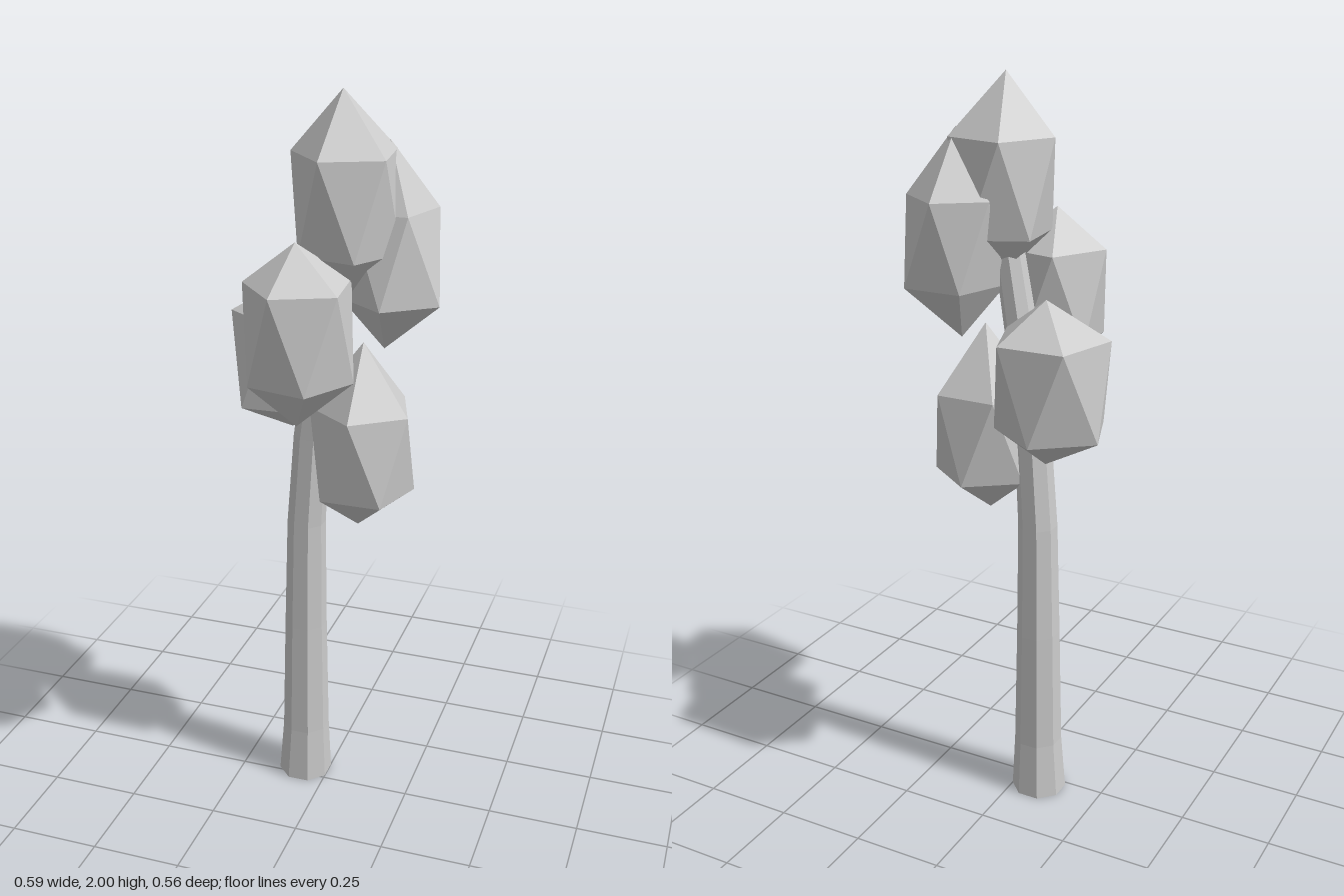
import * as THREE from 'three';

const material = new THREE.MeshStandardMaterial({ color: 0xcccccc, flatShading: true });

// Ring of points around [x, y, z]
function ring([x, y, z], radius, sides, degrees) {
  return Array.from({ length: sides }, (_, i) => {
    const a = THREE.MathUtils.degToRad(degrees) + (i / sides) * Math.PI * 2;
    return [x + radius * Math.cos(a), y, z + radius * Math.sin(a)];
  });
}

function facetedMesh(name, triangles) {
  const geometry = new THREE.BufferGeometry();
  geometry.setAttribute('position', new THREE.Float32BufferAttribute(triangles.flat(2), 3));
  geometry.computeVertexNormals();
  const mesh = new THREE.Mesh(geometry, material);
  mesh.name = name;
  return mesh;
}

// Stretched twenty-sided clump: a tip, two staggered rings of five, a bottom point
function foliage({ name, top, upper, upperR, lower, lowerR, bottom, turn }) {
  const u = ring(upper, upperR, 5, turn);
  const l = ring(lower, lowerR, 5, turn + 36);
  const triangles = [];
  for (let i = 0; i < 5; i++) {
    const j = (i + 1) % 5;
    triangles.push([top, u[j], u[i]], [l[i], u[i], u[j]], [u[j], l[j], l[i]], [bottom, l[i], l[j]]);
  }
  return facetedMesh(name, triangles);
}

// Bent, tapering eight-sided trunk, closed at both ends
function trunk() {
  const sections = [
    [[-0.07, 0, -0.04], 0.076],
    [[-0.067, 0.16, -0.04], 0.066],
    [[-0.066, 0.5, -0.04], 0.059],
    [[-0.062, 0.82, -0.038], 0.053],
    [[-0.045, 1.08, -0.036], 0.049],
    [[-0.018, 1.3, -0.032], 0.045],
    [[0.045, 1.64, -0.02], 0.038],
  ];
  const sides = 8;
  const rings = sections.map(([centre, r]) => ring(centre, r, sides, 22.5));
  const triangles = [];
  for (let i = 0; i < sides; i++) {
    const j = (i + 1) % sides;
    for (let k = 0; k < rings.length - 1; k++) {
      const a = rings[k], b = rings[k + 1];
      triangles.push([a[i], b[i], b[j]], [a[i], b[j], a[j]]);
    }
    triangles.push([sections[0][0], rings[0][i], rings[0][j]]);
    triangles.push([sections.at(-1)[0], rings.at(-1)[j], rings.at(-1)[i]]);
  }
  return facetedMesh('trunk', triangles);
}

export function createModel() {
  const tree = new THREE.Group();
  tree.name = 'tree';
  tree.add(trunk());

  const clumps = [
    { name: 'crownFoliage', turn: 30, top: [0.05, 2, 0], bottom: [0.06, 1.48, -0.01],
      upper: [0.055, 1.845, -0.01], upperR: 0.14, lower: [0.06, 1.6, -0.01], lowerR: 0.135 },
    { name: 'leftFoliage', turn: 54, top: [0.145, 1.87, -0.085], bottom: [0.14, 1.33, -0.08],
      upper: [0.145, 1.7, -0.095], upperR: 0.125, lower: [0.165, 1.47, -0.075], lowerR: 0.137 },
    { name: 'frontFoliage', turn: 30, top: [-0.03, 1.65, 0.13], bottom: [-0.03, 1.17, 0.13],
      upper: [-0.02, 1.545, 0.135], upperR: 0.143, lower: [-0.02, 1.3, 0.135], lowerR: 0.14 },
    { name: 'rightFoliage', turn: 16, top: [-0.14, 1.48, -0.15], bottom: [-0.14, 1.05, -0.15],
      upper: [-0.155, 1.385, -0.155], upperR: 0.15, lower: [-0.155, 1.14, -0.14], lowerR: 0.15 },
    { name: 'lowerFoliage', turn: 90, top: [0.1, 1.36, -0.025], bottom: [0.09, 0.84, -0.025],
      upper: [0.1, 1.18, -0.027], upperR: 0.14, lower: [0.1, 0.945, -0.027], lowerR: 0.14 },
  ];
  for (const clump of clumps) tree.add(foliage(clump));
  return tree;
}
